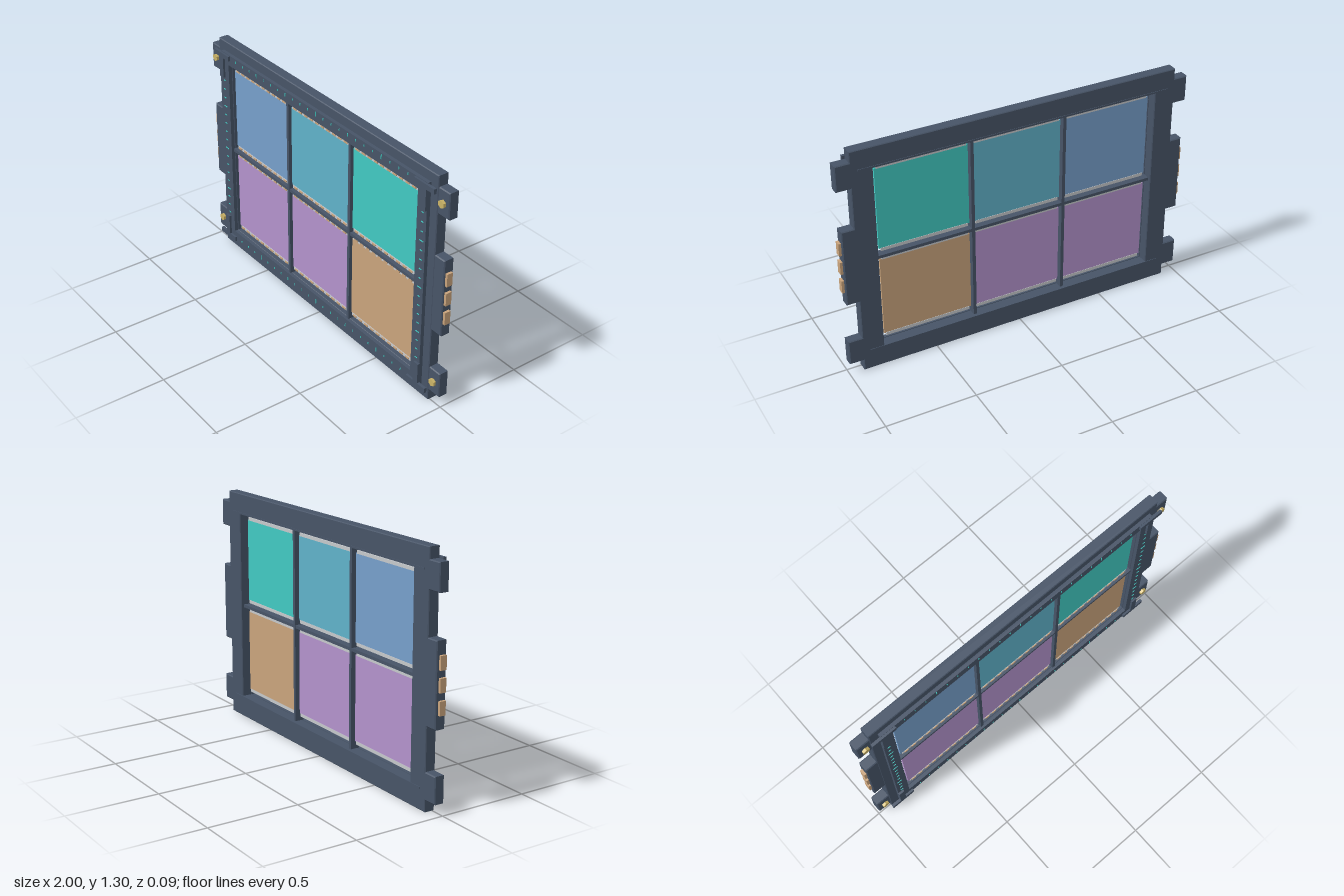
import * as THREE from 'three';

const mat = (name, color) => {
  const m = new THREE.MeshStandardMaterial({ color });
  m.name = name;
  return m;
};

export function createModel() {
  const slate = mat('slate frame', 0x475467);
  const silver = mat('silver', 0xc6c9cc);
  const gold = mat('gold', 0xccb467);
  const tan = mat('tan', 0xcaa47c);
  const blue = mat('blue', 0x769fcb);
  const cyan = mat('cyan', 0x60b2ca);
  const teal = mat('teal', 0x41cac2);
  const purple = mat('purple', 0xb392cc);

  const root = new THREE.Group();
  root.name = 'panelFrame';

  const add = (name, geometry, material, parent = root) => {
    const m = new THREE.Mesh(geometry, material);
    m.name = name;
    parent.add(m);
    return m;
  };
  // box from minimum and maximum corners
  const box = (name, material, x0, x1, y0, y1, z0, z1, parent) => {
    const m = add(name, new THREE.BoxGeometry(x1 - x0, y1 - y0, z1 - z0), material, parent);
    m.position.set((x0 + x1) / 2, (y0 + y1) / 2, (z0 + z1) / 2);
    return m;
  };
  const rect = (P, x0, x1, y0, y1) => new P([
    new THREE.Vector2(x0, y0), new THREE.Vector2(x1, y0),
    new THREE.Vector2(x1, y1), new THREE.Vector2(x0, y1)]);
  // plate with softened edges
  const plate = (name, shape, z0, z1, bevel = 0.005) => {
    const g = new THREE.ExtrudeGeometry(shape, {
      depth: z1 - z0 - 2 * bevel, bevelEnabled: bevel > 0, bevelSize: bevel,
      bevelThickness: bevel, bevelOffset: -bevel, bevelSegments: 1 });
    g.translate(0, 0, z0 + bevel);
    return add(name, g, slate);
  };

  // main frame and raised front plate
  const body = rect(THREE.Shape, -0.918, 0.918, 0, 1.302);
  body.holes.push(rect(THREE.Path, -0.8, 0.8, 0.12, 1.187));
  plate('frameBody', body, -0.046, 0.014, 0.004);
  const front = rect(THREE.Shape, -0.868, 0.868, 0.058, 1.248);
  front.holes.push(rect(THREE.Path, -0.8, 0.8, 0.12, 1.187));
  plate('frontPlate', front, 0.014, 0.034, 0);

  // thin lips on the back along the opening
  for (const y of [0.115, 1.192])
    box('backLip', slate, -0.88, 0.88, y - 0.005, y + 0.005, -0.049, -0.04);

  // dividers
  for (const x of [-0.265, 0.265])
    box('verticalDivider', slate, x - 0.009, x + 0.009, 0.118, 1.189, -0.03, 0.022);
  box('horizontalDivider', slate, -0.802, 0.802, 0.647, 0.664, -0.028, 0.02);

  for (const s of [-1, 1]) {
    const span = (a, b) => s > 0 ? [a, b] : [-b, -a];

    // side grip with three connectors
    plate('sideGrip', rect(THREE.Shape, ...span(0.9, 0.986), 0.435, 0.872), -0.046, 0.012);
    for (const y of [0.543, 0.655, 0.765])
      box('connector', tan, ...span(0.98, 1), y - 0.036, y + 0.036, -0.031, 0.003);

    for (const t of [-1, 1]) {
      const cy = 0.653 + t * 0.518;
      // mounting ear and hex bolt
      plate('mountingEar', rect(THREE.Shape, ...span(0.9, 0.995), cy - 0.072, cy + 0.072), -0.046, 0.01);
      const bolt = add('hexBolt', new THREE.CylinderGeometry(0.021, 0.021, 0.018, 6).toNonIndexed(), gold);
      bolt.geometry.computeVertexNormals();
      bolt.rotation.x = Math.PI / 2;
      bolt.position.set(s * 0.951, cy, 0.016);

      // corner bracket
      const edge = 0.653 + t * 0.592;
      const ys = (a, b) => t > 0 ? [edge - b, edge - a] : [edge + a, edge + b];
      box('cornerBracketFoot', slate, ...span(0.782, 0.925), ...ys(0, 0.027), 0.03, 0.046);
      box('cornerBracketLeg', slate, ...span(0.836, 0.87), ...ys(0.027, 0.145), 0.03, 0.046);
    }
  }

  // scale ticks around the front plate
  const ticks = new THREE.Group();
  ticks.name = 'scaleTicks';
  root.add(ticks);
  for (let i = -11; i <= 11; i++) {
    const x = i * 0.066, h = i % 8 === 0 ? 0.013 : i % 4 === 0 ? 0.009 : 0.006;
    for (const y of [0.082, 1.23])
      box('tick', teal, x - 0.002, x + 0.002, y - h, y + h, 0.033, 0.037, ticks);
  }
  for (let i = -8; i <= 8; i++) {
    const y = 0.655 + i * 0.053, w = i % 5 === 0 ? 0.014 : 0.008;
    for (const x of [-0.842, 0.842])
      box('tick', teal, x - w, x + w, y - 0.002, y + 0.002, 0.033, 0.037, ticks);
  }

  // six panels with contact rails above and below
  const colors = [[purple, purple, tan], [blue, cyan, teal]];
  colors.forEach((row, r) => row.forEach((material, c) => {
    const x = (c - 1) * 0.529, y = r ? 0.922 : 0.394;
    const cell = new THREE.Group();
    cell.name = 'panelCell';
    root.add(cell);
    box('panel', material, x - 0.252, x + 0.252, y - 0.232, y + 0.232, -0.006, 0.006, cell);
    for (const s of [-1, 1]) {
      const ry = y + s * 0.238;
      box('contactRail', silver, x - 0.242, x + 0.242, ry - 0.009, ry + 0.009, -0.008, 0.008, cell);
      for (let i = 0; i < 10; i++) {
        const px = x - 0.216 + i * 0.048;
        box('contact', tan, px - 0.013, px + 0.013, ry - 0.005, ry + 0.005, 0.006, 0.012, cell);
      }
    }
  }));

  return root;
}
